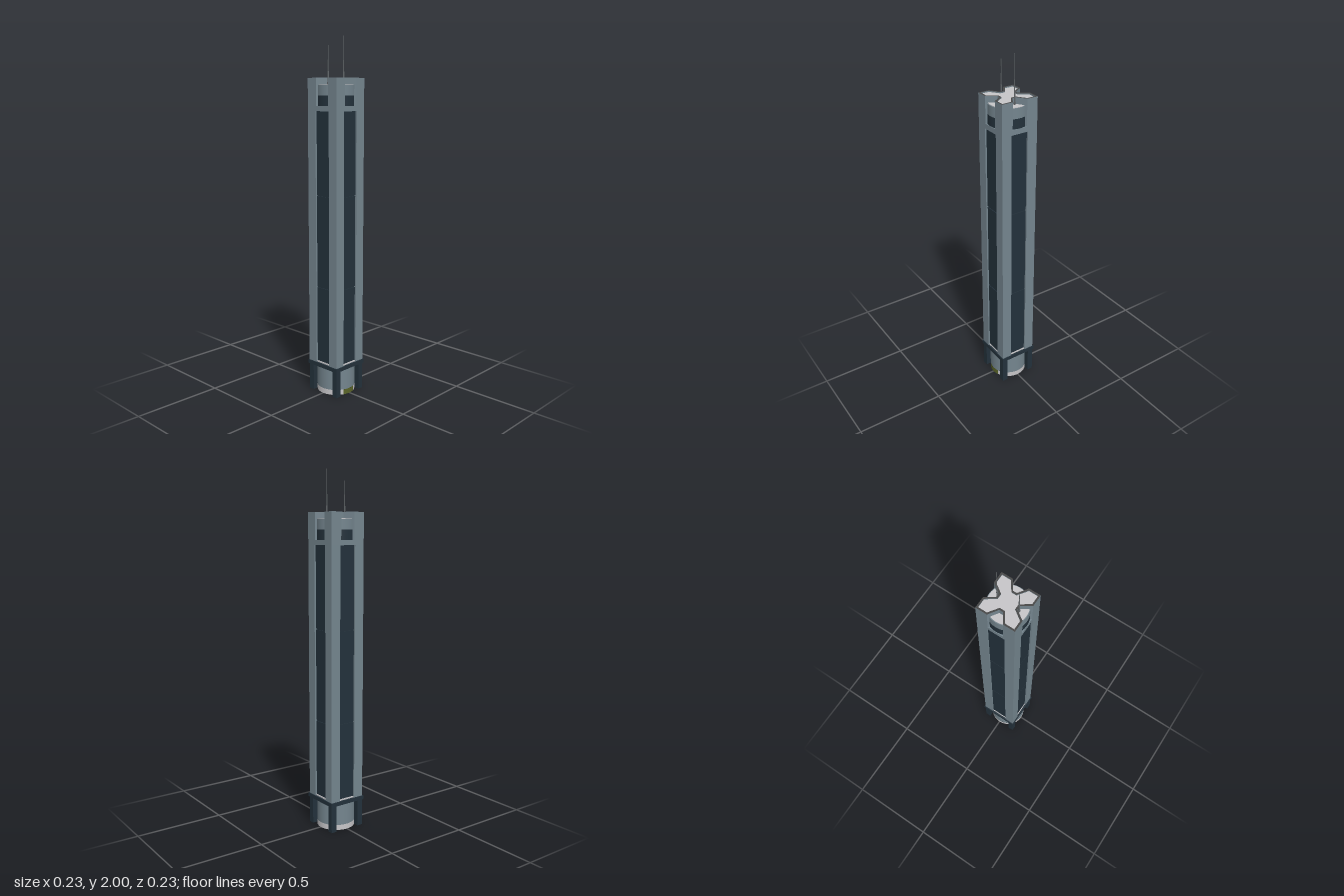
import * as THREE from 'three';

const mat = (name, color, side = THREE.FrontSide) =>
  new THREE.MeshStandardMaterial({ name, color, side });

// Square outline of half width h with a notch in each side:
// half width a at the face, half width b at its floor, floor at distance c.
function notchedSquare(h, a, b, c) {
  const pts = [];
  for (let i = 0; i < 4; i++) {
    for (const [x, y] of [[h, h], [a, h], [b, c], [-b, c], [-a, h]]) {
      pts.push(new THREE.Vector2(x, y).rotateAround(new THREE.Vector2(), i * Math.PI / 2));
    }
  }
  return pts;
}

export function createModel() {
  const tower = new THREE.Group();
  tower.name = 'tower';

  const glass = mat('blueGlass', 0x74858e, THREE.DoubleSide);
  const navy = mat('darkNavy', 0x23313b);
  const roof = mat('paleGrey', 0xc6c5c8, THREE.DoubleSide);
  const trim = mat('charcoal', 0x474747);
  const olive = mat('olive', 0x5a6428, THREE.DoubleSide);
  const steel = mat('steel', 0x62676a);

  function add(name, geometry, material, x = 0, y = 0, z = 0, parent = tower) {
    const mesh = new THREE.Mesh(geometry, material);
    mesh.name = name;
    mesh.position.set(x, y, z);
    parent.add(mesh);
    return mesh;
  }
  const box = (name, w, h, d, material, x, y, z, parent) =>
    add(name, new THREE.BoxGeometry(w, h, d), material, x, y, z, parent);

  // Vertical prism of a plan shape between two heights
  function prism(name, shape, y0, y1, materials) {
    const g = new THREE.ExtrudeGeometry(shape, { depth: y1 - y0, bevelEnabled: false });
    g.rotateX(-Math.PI / 2);
    add(name, g, materials, 0, y0, 0);
  }
  // Drum between two heights, optionally open or only an arc
  const drum = (name, r, y0, y1, material, open = false, start = 0, sweep = Math.PI * 2) =>
    add(name, new THREE.CylinderGeometry(r, r, y1 - y0, 48, 1, open, start, sweep),
      material, 0, (y0 + y1) / 2, 0);

  const H = 0.108;

  // Round lobby, open below, with a pale plinth and a front entrance
  const door = 0.38;
  drum('lobbyWall', 0.107, 0.03, 0.155, glass, true);
  drum('lobbyPlinth', 0.107, 0, 0.03, roof, true, door, Math.PI * 2 - 2 * door);
  drum('entrance', 0.107, 0, 0.03, olive, true, -door, 2 * door);

  // Corner legs and the collar they carry
  for (const sx of [-1, 1]) {
    for (const sz of [-1, 1]) {
      box('cornerLeg', 0.033, 0.155, 0.033, navy, sx * 0.0915, 0.0775, sz * 0.0915);
    }
  }
  box('collar', 0.226, 0.022, 0.226, navy, 0, 0.164, 0);

  // Shaft with a shallow recess down each face, closed by a lintel block
  prism('shaft', new THREE.Shape(notchedSquare(H, 0.05, 0.05, 0.09)), 0.175, 1.6, glass);
  box('lintel', 2 * H, 0.028, 2 * H, glass, 0, 1.614, 0);

  // Window strips in three lengths with narrow joints, and a sill below
  const joints = [0.183, 0.62, 1.14, 1.6];
  for (let i = 0; i < 4; i++) {
    const face = new THREE.Group();
    face.name = 'windowFace';
    face.rotation.y = i * Math.PI / 2;
    tower.add(face);
    box('windowBacking', 0.1, 1.425, 0.006, navy, 0, 0.8875, 0.091, face);
    for (let j = 0; j < 3; j++) {
      const y0 = joints[j] + (j > 0 ? 0.003 : 0);
      const y1 = joints[j + 1] - (j < 2 ? 0.003 : 0);
      box('windowStrip', 0.1, y1 - y0, 0.008, navy, 0, (y0 + y1) / 2, 0.095, face);
    }
    box('windowSill', 0.1, 0.008, 0.013, roof, 0, 0.179, 0.0965, face);
  }

  // Crown: four corner arms around tapered notches
  const crown = notchedSquare(H, 0.044, 0.01, 0.057);
  prism('crown', new THREE.Shape(crown), 1.628, 1.77, [roof, glass]);

  // Parapet rim on top of the crown
  const rim = new THREE.Shape(crown);
  rim.holes.push(new THREE.Path(notchedSquare(0.099, 0.05, 0.014, 0.048).reverse()));
  prism('parapet', rim, 1.77, 1.776, [trim, glass]);

  // Round lantern showing in the notches
  drum('lanternWindows', 0.106, 1.628, 1.682, navy);
  drum('lanternWall', 0.106, 1.682, 1.738, glass);
  drum('lanternRoof', 0.102, 1.737, 1.741, roof);

  // Twin stepped masts, the one on the left taller
  for (const [x, top] of [[-0.06, 1.945], [0.06, 2.0]]) {
    const mast = new THREE.Group();
    mast.name = 'mast';
    mast.position.set(x, 0, 0);
    tower.add(mast);
    box('mastFoot', 0.011, 0.012, 0.011, steel, 0, 1.747, 0, mast);
    const steps = [[1.74, 1.81, 0.004], [1.81, 1.87, 0.0027], [1.87, top, 0.0014]];
    for (const [y0, y1, r] of steps) {
      add('mastSection', new THREE.CylinderGeometry(r, r, y1 - y0, 8), steel,
        0, (y0 + y1) / 2, 0, mast);
    }
  }

  return tower;
}
